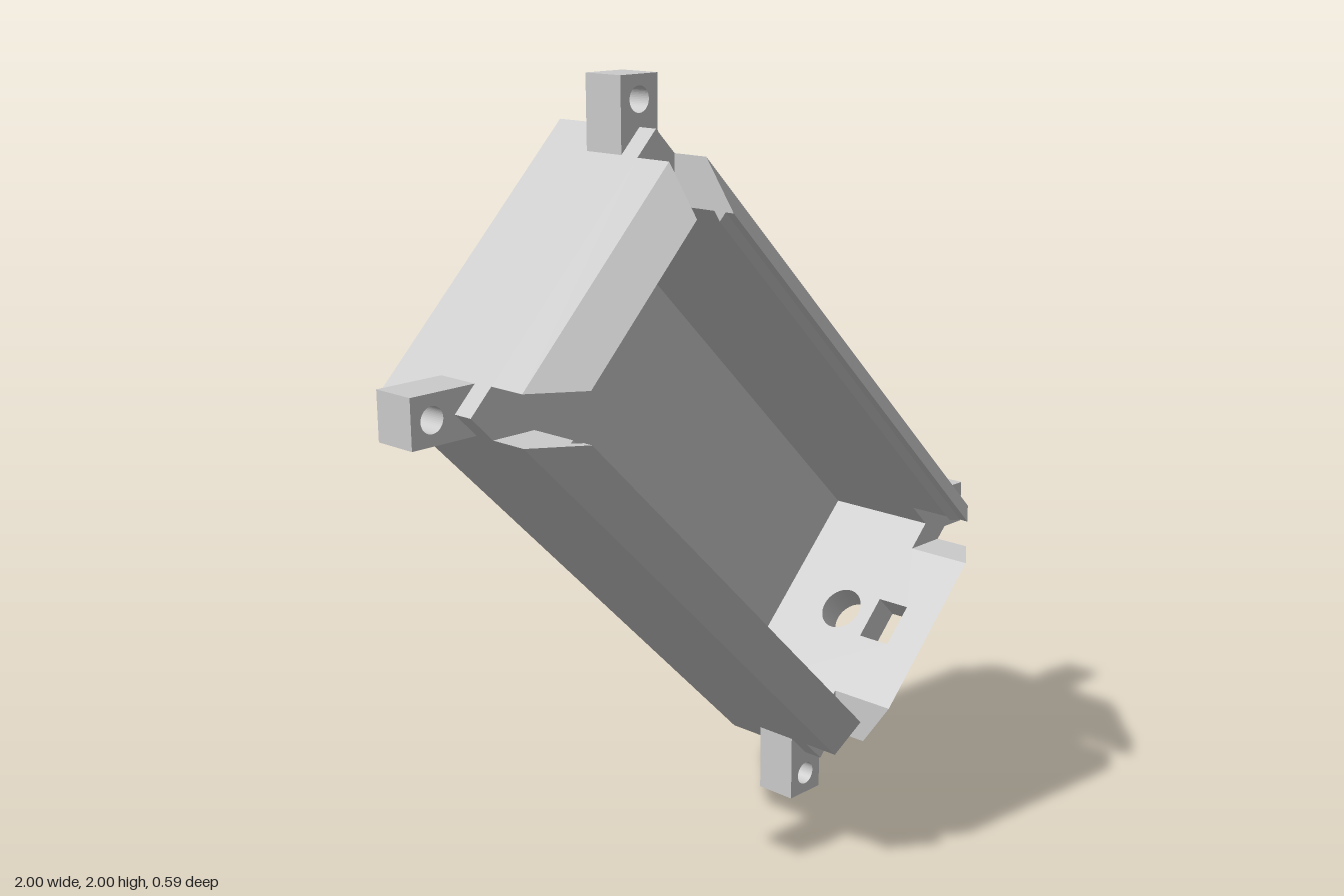
import * as THREE from 'three';

const HL = 0.842, HW = 0.403;          // half length and half width of the case
const T = 0.085;                       // wall thickness, also the chamfer size
const BACK = -0.21, STEP = 0.11, RIM = 0.21, FRONT = 0.295;

const material = new THREE.MeshStandardMaterial({ color: 0xcccccc, flatShading: true });

function polygon(points) {
  return new THREE.Shape(points.map(([x, y]) => new THREE.Vector2(x, y)));
}

// Move every vertex by a rule, then recompute flat normals
function reshape(geometry, rule) {
  const g = geometry.index ? geometry.toNonIndexed() : geometry;
  const p = g.attributes.position;
  const v = new THREE.Vector3();
  for (let i = 0; i < p.count; i++) {
    rule(v.fromBufferAttribute(p, i));
    p.setXYZ(i, v.x, v.y, v.z);
  }
  g.computeVertexNormals();
  return g;
}

function addMesh(parent, name, geometry) {
  const mesh = new THREE.Mesh(geometry, material);
  mesh.name = name;
  parent.add(mesh);
  return mesh;
}

// Long wall strip: a (depth, z) profile run along the wall with mitred ends
function strip(profile, half, offset) {
  const g = new THREE.ExtrudeGeometry(polygon(profile), { depth: 1, bevelEnabled: false });
  return reshape(g, (v) => {
    const d = v.x, z = v.y, side = v.z > 0.5 ? 1 : -1;
    v.set(-side * (half - d), offset - d, z);
  });
}

// Short wall: outline with notched corners and holes, mitred ends, chamfered front
function shortWall(holes) {
  const a = HW, b = HW - T;
  const shape = polygon([[-a, BACK], [a, BACK], [a, STEP], [b, STEP], [b, FRONT], [-b, FRONT], [-b, STEP], [-a, STEP]]);
  shape.holes.push(...holes);
  const g = new THREE.ExtrudeGeometry(shape, { depth: T, bevelEnabled: false, curveSegments: 32 });
  return reshape(g, (v) => {
    const d = v.z, z = Math.min(v.y, RIM + d);
    const s = Math.abs(v.x) > 0.15 ? v.x - Math.sign(v.x) * d : v.x;
    v.set(s, HL - d, z);
  });
}

export function createModel() {
  const model = new THREE.Group();
  model.name = 'enclosure';

  // Case, turned 45 degrees about the z axis
  const box = new THREE.Group();
  box.name = 'case';
  box.position.y = 1;
  box.rotation.z = -Math.PI / 4;
  model.add(box);

  // Back panel with chamfered edges
  addMesh(box, 'backPanel', reshape(new THREE.BoxGeometry(2 * HL, 2 * HW, T), (v) => {
    if (v.z < 0) {
      v.x -= Math.sign(v.x) * T;
      v.y -= Math.sign(v.y) * T;
    }
    v.z += BACK - T / 2;
  }));

  // Long walls: snap ridge on the upper one, matching groove in the lower one
  for (const [name, turn, snap] of [['upperLongWall', 0, 0.016], ['lowerLongWall', Math.PI, -0.016]]) {
    const wall = new THREE.Group();
    wall.name = name;
    wall.rotation.z = turn;
    box.add(wall);
    addMesh(wall, name + 'Base', strip([[0, BACK], [T, BACK], [T, STEP], [0, STEP]], HL, HW));
    addMesh(wall, name + 'Rim', strip([
      [0, STEP], [T, STEP], [T, 0.235], [T + snap, 0.252], [T, 0.27], [T, FRONT], [0, RIM],
    ], HL - T, HW));
  }

  // Short walls: the lower one has a round cable hole and a rectangular slot
  const round = new THREE.Path().absarc(0, -0.008, 0.06, 0, Math.PI * 2, true);
  const slot = new THREE.Path([[-0.06, 0.095], [-0.06, 0.19], [0.06, 0.19], [0.06, 0.095]]
    .map(([x, y]) => new THREE.Vector2(x, y)));
  addMesh(box, 'upperShortWall', shortWall([])).rotation.z = Math.PI / 2;
  addMesh(box, 'lowerShortWall', shortWall([round, slot])).rotation.z = -Math.PI / 2;

  // Mounting tabs with screw holes, one on each corner
  const tabShape = polygon([[-0.059, -0.2], [0.059, -0.2], [0.059, 0], [-0.059, 0]]);
  tabShape.holes.push(new THREE.Path().absarc(0, -0.057, 0.031, 0, Math.PI * 2, true));
  const tabGeometry = new THREE.ExtrudeGeometry(tabShape, { depth: 0.114, bevelEnabled: false, curveSegments: 24 });
  tabGeometry.translate(0, 0, -0.057);
  const tabs = [
    ['topTab', -0.31, 2, 0], ['rightTab', -1, 1.31, 1],
    ['bottomTab', 0.31, 0, 2], ['leftTab', 1, 0.69, 3],
  ];
  for (const [name, x, y, quarter] of tabs) {
    const tab = addMesh(model, name, tabGeometry);
    tab.position.set(x, y, 0);
    tab.rotation.z = quarter * Math.PI / 2;
  }
  return model;
}
